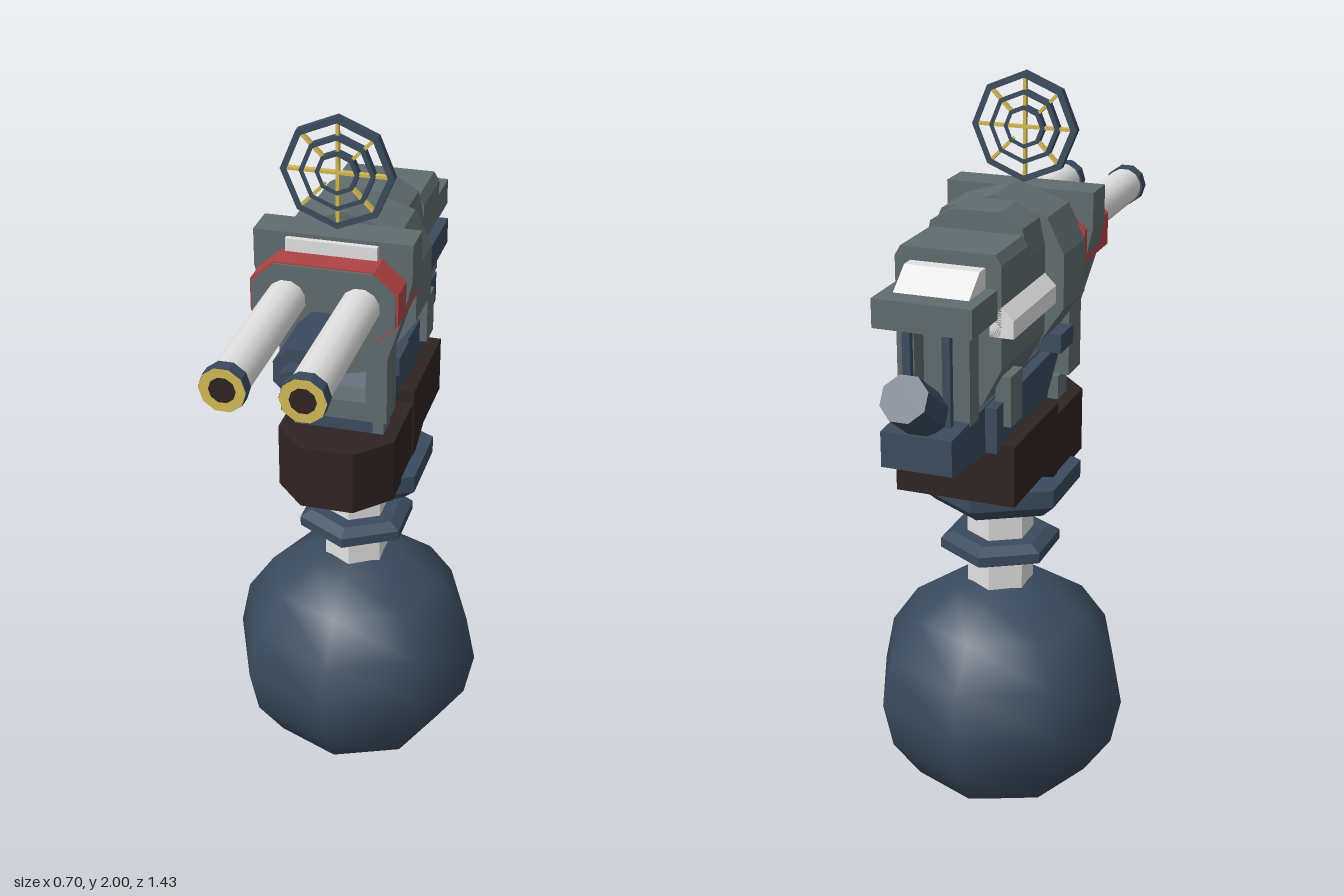
import * as THREE from 'three';

const mat = (name, color) => Object.assign(new THREE.MeshStandardMaterial({ color }), { name });

export function createModel() {
  const root = new THREE.Group();
  const steel = mat('steelGrey', 0x606c6f);
  const blue = mat('darkBlue', 0x3a4b5e);
  const brown = mat('darkBrown', 0x2f2323);
  const white = mat('paleGrey', 0xe2e2e2);
  const red = mat('red', 0xb04343);
  const gold = mat('gold', 0xd2ba55);

  const add = (name, geo, m, x = 0, y = 0, z = 0, parent = root) => {
    const mesh = new THREE.Mesh(geo, m);
    mesh.name = name;
    mesh.position.set(x, y, z);
    parent.add(mesh);
    return mesh;
  };
  const flat = (geo) => {
    const g = geo.index ? geo.toNonIndexed() : geo;
    g.computeVertexNormals();
    return g;
  };
  // box given by its limits
  const box = (name, m, x0, x1, y0, y1, z0, z1) =>
    add(name, new THREE.BoxGeometry(x1 - x0, y1 - y0, z1 - z0), m, (x0 + x1) / 2, (y0 + y1) / 2, (z0 + z1) / 2);
  const shapeOf = (pts) => new THREE.Shape(pts.map((p) => new THREE.Vector2(...p)));
  const extrude = (shape, depth) => new THREE.ExtrudeGeometry(shape, { depth, bevelEnabled: false });
  // right half of a cross-section, from top to bottom, mirrored
  const mirrored = (half) => [...half, ...half.map(([x, y]) => [-x, y]).reverse().filter(([x]) => x !== 0)];
  const prism = (name, m, half, z0, z1, hole) => {
    const s = shapeOf(mirrored(half));
    if (hole) s.holes.push(new THREE.Path(hole.map((p) => new THREE.Vector2(...p))));
    return add(name, extrude(s, z1 - z0), m, 0, 0, z0);
  };
  // side outline of [z, y] points, spread across the width
  const sidePrism = (name, m, pts, halfWidth) => {
    const g = extrude(shapeOf(pts.map(([z, y]) => [-z, y])), halfWidth * 2);
    return add(name, g.rotateY(Math.PI / 2), m, -halfWidth);
  };
  const rod = (name, m, r, z0, z1, x, y, sides, smooth) => {
    const g = new THREE.CylinderGeometry(r, r, z1 - z0, sides).rotateY(Math.PI / sides).rotateX(Math.PI / 2);
    return add(name, smooth ? g : flat(g), m, x, y, (z0 + z1) / 2);
  };

  // ball, column and hexagonal collars
  const ZC = -0.085;
  add('ball', new THREE.SphereGeometry(0.352, 8, 8).scale(1, 0.966, 1), blue, 0, 0.34, ZC);
  add('column', flat(new THREE.CylinderGeometry(0.09, 0.09, 0.4, 6)), white, 0, 0.79, ZC);
  const collar = (name, pts) =>
    add(name, flat(new THREE.LatheGeometry(pts.map((p) => new THREE.Vector2(...p)), 6)), blue, 0, 0, ZC);
  collar('lowerCollar', [[0, 0.75], [0.13, 0.75], [0.162, 0.765], [0.162, 0.792], [0.13, 0.81], [0, 0.81]]);
  collar('upperCollar', [[0, 0.908], [0.175, 0.908], [0.217, 0.945], [0.217, 0.993], [0, 0.993]]);

  // turning base: chamfered front block and stepped rear block
  const plan = [[-0.155, 0.085], [0.155, 0.085], [0.155, -0.13], [0.07, -0.22], [-0.07, -0.22], [-0.155, -0.13]];
  add('baseFront', extrude(shapeOf(plan), 0.175).rotateX(-Math.PI / 2), brown, 0, 0.98, 0);
  sidePrism('baseRear', brown, [[-0.08, 0.98], [-0.2, 1.03], [-0.4, 1.03], [-0.4, 1.19], [-0.08, 1.19]], 0.158);

  // cradle beam
  sidePrism('cradleBeam', blue,
    [[0.1, 1.155], [0.1, 1.22], [0.055, 1.315], [-0.63, 1.285], [-0.63, 1.195], [-0.4, 1.17], [-0.085, 1.155]], 0.09);
  sidePrism('cradleCheeks', blue,
    [[-0.085, 1.17], [0.055, 1.31], [-0.42, 1.292], [-0.42, 1.175]], 0.12);
  box('cradleBlock', blue, -0.15, 0.15, 1.31, 1.36, -0.04, 0.06);
  for (const s of [-1, 1]) {
    const foot = box('shieldFoot', steel, 0.09, 0.12, 1.155, 1.22, 0.03, 0.1);
    foot.position.x *= s;
    const bracket = box('sideBracket', steel, 0.1, 0.14, 1.23, 1.36, -0.375, -0.295);
    bracket.position.x *= s;
  }

  // gun body in three stepped sections
  prism('bodyFront', steel,
    [[0, 1.735], [0.14, 1.69], [0.185, 1.6], [0.185, 1.46], [0.12, 1.365]], -0.125, 0.04);
  prism('bodyMiddle', steel,
    [[0.06, 1.725], [0.12, 1.69], [0.135, 1.62], [0.135, 1.395], [0.085, 1.3]], -0.245, -0.125);
  prism('bodyRear', steel,
    [[0.12, 1.675], [0.135, 1.65], [0.135, 1.395], [0.085, 1.3]], -0.425, -0.245);
  box('sideRail', blue, 0.13, 0.162, 1.475, 1.545, -0.425, -0.125);
  prism('sideCanister', white, [[0.0, 1.55], [0.03, 1.52], [0.03, 1.475]], -0.425, -0.125).position.x = -0.135;

  // rear deck, sloped cover and posts
  box('rearDeck', steel, -0.125, 0.125, 1.52, 1.592, -0.585, -0.42);
  sidePrism('rearCover', white, [[-0.42, 1.59], [-0.42, 1.642], [-0.46, 1.642], [-0.53, 1.59]], 0.095);
  for (const s of [-1, 1]) {
    box('rearPost', steel, s * 0.07 - 0.022, s * 0.07 + 0.022, 1.28, 1.53, -0.52, -0.465);
    box('rearRod', blue, s * 0.05 - 0.01, s * 0.05 + 0.01, 1.28, 1.53, -0.562, -0.545);
  }

  // tilted octagonal canister at the tail
  const tail = add('tailCanister', flat(new THREE.CylinderGeometry(0.06, 0.06, 0.14, 8).rotateY(Math.PI / 8)),
    blue, 0, 1.36, -0.632);
  tail.rotation.x = -0.97;

  // front shield with its lower window
  prism('shield', steel,
    [[0.2, 1.715], [0.2, 1.62], [0.18, 1.53], [0.14, 1.4], [0.14, 1.217]], 0.055, 0.15,
    [[-0.085, 1.27], [0.085, 1.27], [0.085, 1.36], [0, 1.34], [-0.085, 1.36]]);
  box('shieldPlate', white, -0.115, 0.115, 1.66, 1.705, 0.14, 0.165);

  // red breech with a grey face
  const breech = [[0.125, 1.672], [0.185, 1.62], [0.185, 1.535], [0.13, 1.485]];
  prism('breech', red, breech, 0.035, 0.23);
  prism('breechFace', steel, breech.map(([x, y]) => [x * 0.97, 1.58 + (y - 1.58) * 0.96]), 0.229, 0.237);

  // twin barrels with gold muzzle rings
  for (const x of [-0.092, 0.092]) {
    rod('barrel', white, 0.05, 0.23, 0.68, x, 1.58, 12, true);
    rod('muzzle', blue, 0.056, 0.675, 0.708, x, 1.58, 10);
    add('muzzleRing', new THREE.RingGeometry(0.032, 0.055, 10), gold, x, 1.58, 0.71);
    add('bore', new THREE.CircleGeometry(0.034, 10), brown, x, 1.58, 0.7095);
  }
  rod('lowerBarrel', blue, 0.068, 0.14, 0.44, 0, 1.492, 8);
  rod('lowerBarrelTip', blue, 0.04, 0.43, 0.485, 0, 1.497, 8).scale.y = 0.65;

  // ring sight: octagonal rings on gold spokes
  const sight = new THREE.Group();
  sight.name = 'ringSight';
  sight.position.set(0, 1.86, 0.098);
  root.add(sight);
  const octagon = (r) => Array.from({ length: 8 }, (_, i) =>
    new THREE.Vector2(Math.sin(i * Math.PI / 4) * r, Math.cos(i * Math.PI / 4) * r));
  for (const [r, w] of [[0.142, 0.017], [0.095, 0.012], [0.055, 0.011]]) {
    const s = new THREE.Shape(octagon(r));
    s.holes.push(new THREE.Path(octagon(r - w)));
    add('sightRing', extrude(s, 0.022), blue, 0, 0, -0.011, sight);
  }
  for (let i = 0; i < 4; i++) {
    const diagonal = i % 2;
    for (const s of [-1, 1]) {
      const start = diagonal ? 0.045 : 0;
      const spoke = add('sightSpoke',
        new THREE.BoxGeometry(0.132 - start, 0.008, 0.014).translate(s * (0.132 + start) / 2, 0, 0), gold, 0, 0, 0, sight);
      spoke.rotation.z = i * Math.PI / 4;
    }
  }
  return root;
}
